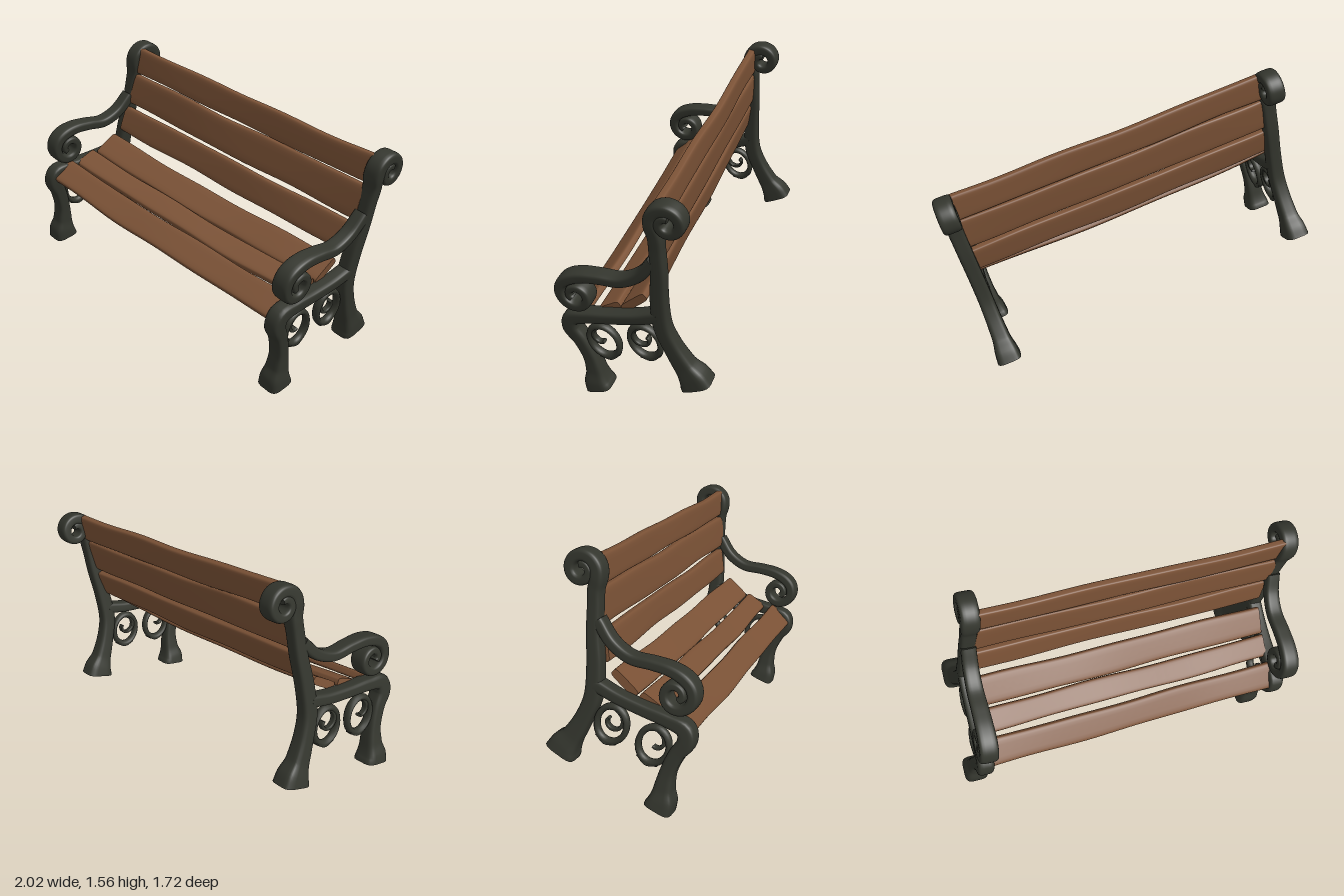
import * as THREE from 'three';

const V = (x, y, z) => new THREE.Vector3(x, y, z);
const X = V(1, 0, 0);
const SKEW = 0.045; // slight turn of the side frames
const iron = new THREE.MeshStandardMaterial({ color: 0x34362e });
iron.name = 'darkIron';
const wood = new THREE.MeshStandardMaterial({ color: 0x7b5236 });
wood.name = 'brownWood';

// Skin a list of sections {c, e1, e2, a, b}; e1 x e2 points along the path
function loft(sections, power, sides = 20) {
  const pos = [], idx = [];
  const addRing = (s) => {
    const start = pos.length / 3;
    for (let j = 0; j < sides; j++) {
      const t = ((j + 0.5) / sides) * Math.PI * 2, c = Math.cos(t), n = Math.sin(t);
      const p = s.c.clone()
        .addScaledVector(s.e1, Math.sign(c) * Math.abs(c) ** power * s.a)
        .addScaledVector(s.e2, Math.sign(n) * Math.abs(n) ** power * s.b);
      pos.push(p.x, p.y, p.z);
    }
    return start;
  };
  const starts = sections.map(addRing);
  for (let i = 0; i + 1 < starts.length; i++) {
    for (let j = 0; j < sides; j++) {
      const k = (j + 1) % sides, p = starts[i], q = starts[i + 1];
      idx.push(p + j, p + k, q + j, p + k, q + k, q + j);
    }
  }
  // separate end caps keep the ends crisp
  [sections[0], sections[sections.length - 1]].forEach((s, end) => {
    const r = addRing(s), m = pos.length / 3;
    pos.push(s.c.x, s.c.y, s.c.z);
    for (let j = 0; j < sides; j++) {
      const k = (j + 1) % sides;
      if (end) idx.push(m, r + j, r + k);
      else idx.push(m, r + k, r + j);
    }
  });
  const g = new THREE.BufferGeometry();
  g.setAttribute('position', new THREE.Float32BufferAttribute(pos, 3));
  g.setIndex(idx);
  g.computeVertexNormals();
  return g;
}

// Cast bar in the side plane: points are [z, y, halfWidth, halfThickness]
function bar(points, steps = 6) {
  const path = new THREE.CatmullRomCurve3(points.map((p) => V(0, p[1], p[0])));
  const size = new THREE.CatmullRomCurve3(points.map((p) => V(p[2], p[3], 0)), false, 'catmullrom', 0.3);
  const n = (points.length - 1) * steps, sections = [];
  for (let i = 0; i <= n; i++) {
    const t = i / n, s = size.getPoint(t);
    const e1 = X.clone().cross(path.getTangent(t)).normalize();
    sections.push({ c: path.getPoint(t), e1, e2: X, a: s.x, b: s.y });
  }
  return loft(sections, 0.5);
}

// Points of a tapering scroll
function scroll(z, y, r0, r1, a0, a1, w0, w1, thick, n = 14) {
  return Array.from({ length: n + 1 }, (_, i) => {
    const t = i / n, a = THREE.MathUtils.degToRad(a0 + (a1 - a0) * t), r = r0 + (r1 - r0) * t;
    return [z + r * Math.cos(a), y + r * Math.sin(a), w0 + (w1 - w0) * t, thick];
  });
}

// Worn plank running across the bench, tilted about its length
function plank(z, y, half, tilt, sag, seed) {
  const n = 32, sections = [];
  for (let i = 0; i <= n; i++) {
    const t = (i / n) * 2 - 1;
    const ang = tilt + 0.02 * Math.sin(t * 3 + seed * 2);
    const e1 = V(0, Math.cos(ang), Math.sin(ang));
    const c = V(t * 0.845 - (z + 0.3) * SKEW,
      y - sag * (1 - t * t) + 0.002 * Math.sin(t * 7 + seed),
      z + 0.003 * Math.sin(t * 5 + seed * 3));
    const a = half + 0.002 * Math.sin(t * 9 + seed * 5);
    sections.push({ c, e1, e2: X.clone().cross(e1), a, b: 0.022 });
  }
  return loft(sections, 0.4, 24);
}

function mesh(name, geometry, material) {
  const m = new THREE.Mesh(geometry, material);
  m.name = name;
  return m;
}

function sideFrame(name, x) {
  const g = new THREE.Group();
  g.name = name;
  g.position.x = x - 0.3 * SKEW;
  g.rotation.y = -SKEW;

  // flared front leg bending back into the seat rail
  g.add(mesh('frontLegAndRail', bar([
    [-0.016, 0, 0.072, 0.066], [-0.016, 0.04, 0.065, 0.062], [-0.031, 0.11, 0.046, 0.048],
    [-0.042, 0.2, 0.037, 0.042], [-0.033, 0.31, 0.038, 0.042], [-0.013, 0.39, 0.043, 0.044],
    [-0.04, 0.443, 0.042, 0.044], [-0.13, 0.445, 0.035, 0.042], [-0.26, 0.43, 0.032, 0.04],
    [-0.4, 0.42, 0.032, 0.04], [-0.52, 0.425, 0.034, 0.04],
  ]), iron));

  // rear leg and back post ending in a scroll
  g.add(mesh('backPost', bar([
    [-0.572, 0, 0.083, 0.066], [-0.567, 0.04, 0.074, 0.062], [-0.543, 0.12, 0.051, 0.048],
    [-0.519, 0.25, 0.042, 0.042], [-0.514, 0.36, 0.042, 0.04], [-0.556, 0.52, 0.04, 0.039],
    [-0.609, 0.66, 0.036, 0.039], [-0.646, 0.78, 0.034, 0.039], [-0.67, 0.86, 0.034, 0.042],
    ...scroll(-0.757, 0.92, 0.082, 0.028, 0, 480, 0.034, 0.018, 0.047),
  ]), iron));

  // armrest with its front scroll
  g.add(mesh('armrest', bar([
    [-0.61, 0.73, 0.03, 0.038], [-0.51, 0.66, 0.029, 0.04], [-0.4, 0.637, 0.028, 0.042],
    [-0.29, 0.665, 0.028, 0.044], [-0.2, 0.682, 0.029, 0.046],
    ...scroll(-0.135, 0.585, 0.092, 0.026, 85, -390, 0.03, 0.018, 0.048),
  ]), iron));

  // ring ornaments with a curl and a lip under the rail
  [[-0.155, 0.281], [-0.382, 0.268]].forEach(([z, y], i) => {
    const ring = mesh('ringOrnament', new THREE.TorusGeometry(0.077, 0.015, 10, 36), iron);
    ring.rotation.y = Math.PI / 2;
    ring.scale.set(1, 1.22, 1.5);
    ring.position.set(0, y, z);
    const curl = mesh('ringCurl', bar(
      scroll(z, y + 0.02, 0.066, 0.022, 90, i ? -200 : -90, 0.01, 0.008, 0.016, 8), 4), iron);
    const lip = mesh('ringLip', bar([
      [z + 0.055, y - 0.085, 0.006, 0.016], [z, y - 0.1, 0.013, 0.022], [z - 0.055, y - 0.085, 0.006, 0.016],
    ]), iron);
    g.add(ring, curl, lip);
  });
  return g;
}

export function createModel() {
  const model = new THREE.Group();
  model.name = 'parkBench';
  const bench = new THREE.Group();
  bench.name = 'bench';
  model.add(bench);

  bench.add(sideFrame('leftFrame', 0.87), sideFrame('rightFrame', -0.868));

  // z, y, half width, tilt, sag
  const planks = [
    ['seatSlat', -0.075, 0.445, 0.075, 1.98, 0.018],
    ['seatSlat', -0.243, 0.455, 0.064, 1.78, 0.022],
    ['seatSlat', -0.395, 0.481, 0.08, 1.95, 0.02],
    ['backSlat', -0.556, 0.6, 0.077, -0.46, 0.006],
    ['backSlat', -0.634, 0.775, 0.091, -0.38, 0.006],
    ['backSlat', -0.697, 0.938, 0.073, -0.33, 0.006],
  ];
  planks.forEach(([name, ...p], i) => bench.add(mesh(name, plank(...p, i + 1), wood)));

  // the whole bench stands turned and tilted
  const right = V(0.78, -0.216, 0.59).normalize();
  const up = V(0.004, 0.939, 0.34);
  const front = right.clone().cross(up).normalize();
  up.copy(front).cross(right);
  bench.quaternion.setFromRotationMatrix(new THREE.Matrix4().makeBasis(right, up, front));
  bench.position.set(-0.23, 0.208, 0.145);
  return model;
}
